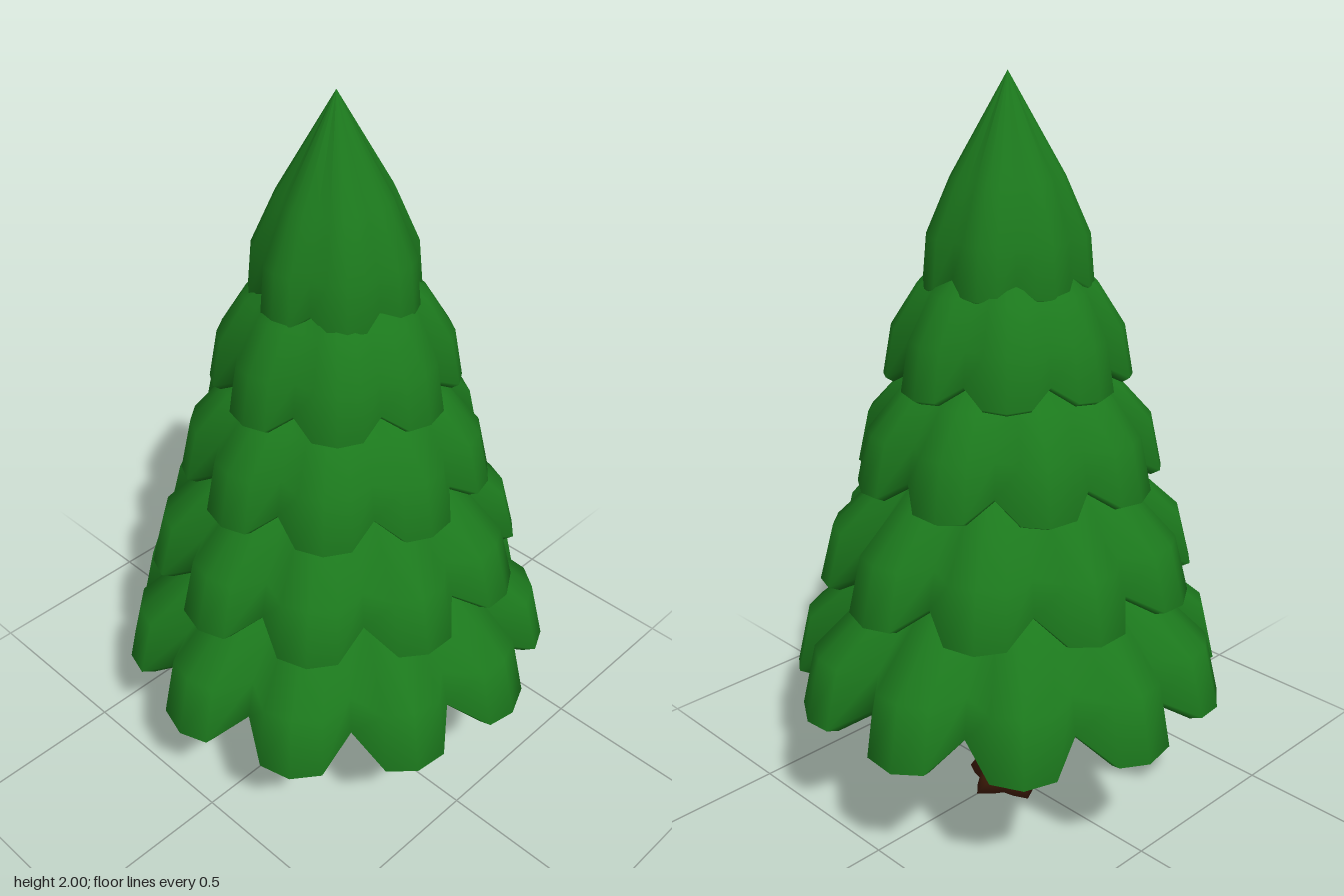
import * as THREE from 'three';

const CENTRE_X = 0.01;

// Closed skin through horizontal rings [radius, y, notchDepth, notchLift].
// Each lobe has four steps: tip, shoulder, notch, shoulder.
function scallopedSkin(rings, lobes, startAngle, shoulder) {
  const n = lobes * 4;
  const shape = [0, shoulder, 1, shoulder];
  const positions = [];
  const index = [];
  rings.forEach(([r, y, depth = 0, lift = 0], i) => {
    for (let j = 0; j < n; j++) {
      const a = startAngle + (j / n) * Math.PI * 2;
      const s = shape[j % 4];
      const radius = r * (1 - depth * s);
      positions.push(Math.cos(a) * radius, y + lift * s, Math.sin(a) * radius);
      if (i === rings.length - 1) continue;
      const k = (j + 1) % n;
      const p = i * n + j, q = i * n + k;
      const u = p + n, v = q + n;
      if (r > 0) index.push(p, q, v);
      if (rings[i + 1][0] > 0) index.push(p, v, u);
    }
  });
  const geometry = new THREE.BufferGeometry();
  geometry.setAttribute('position', new THREE.Float32BufferAttribute(positions, 3));
  geometry.setIndex(index);
  geometry.computeVertexNormals();
  return geometry;
}

export function createModel() {
  const tree = new THREE.Group();
  tree.name = 'pineTree';

  const green = new THREE.MeshStandardMaterial({ color: 0x1c791d });
  green.name = 'needleGreen';
  const brown = new THREE.MeshStandardMaterial({ color: 0x482009 });
  brown.name = 'barkBrown';

  function add(name, geometry, material) {
    const mesh = new THREE.Mesh(geometry, material);
    mesh.name = name;
    mesh.position.x = CENTRE_X;
    tree.add(mesh);
  }

  // Trunk with five pointed, flared roots
  add('trunk', scallopedSkin([
    [0, 0.56], [0.058, 0.56], [0.065, 0.4], [0.08, 0.08, 0.05],
    [0.09, 0.055, 0.12], [0.125, 0, 0.34], [0, 0.01],
  ], 5, 0, 0.6), brown);

  // Branch tiers, bottom to top: outer profile runs from the apex down to the rim
  const tiers = [
    { lobes: 11, depth: 0.18, lift: 0.07, outer: [[0, 0.98], [0.38, 0.69], [0.56, 0.54], [0.6, 0.365]] },
    { lobes: 10, depth: 0.17, lift: 0.06, outer: [[0, 1.24], [0.32, 0.98], [0.47, 0.84], [0.51, 0.683]] },
    { lobes: 9, depth: 0.15, lift: 0.055, outer: [[0, 1.45], [0.29, 1.22], [0.38, 1.12], [0.412, 0.972]] },
    { lobes: 8, depth: 0.14, lift: 0.045, outer: [[0, 1.7], [0.23, 1.48], [0.3, 1.37], [0.324, 1.238]] },
    { lobes: 7, depth: 0.13, lift: 0.035, outer: [[0, 2], [0.145, 1.75], [0.208, 1.61], [0.22, 1.48]] },
  ];

  tiers.forEach(({ lobes, depth, lift, outer }, t) => {
    const [apex, upper, middle, rim] = outer;
    const rings = [
      apex,
      [upper[0], upper[1], depth * 0.65],
      [middle[0], middle[1], depth * 0.95],
      [rim[0], rim[1], depth, lift],
      // Thin lip, then a shallow hollow underside
      [rim[0] * 0.94, rim[1] - 0.012, depth, lift],
      [rim[0] * 0.5, rim[1] + rim[0] * 0.18, depth * 0.4],
      [0, rim[1] + rim[0] * 0.25],
    ];
    add(`branchTier${t + 1}`, scallopedSkin(rings, lobes, Math.PI, 0.14), green);
  });

  return tree;
}
